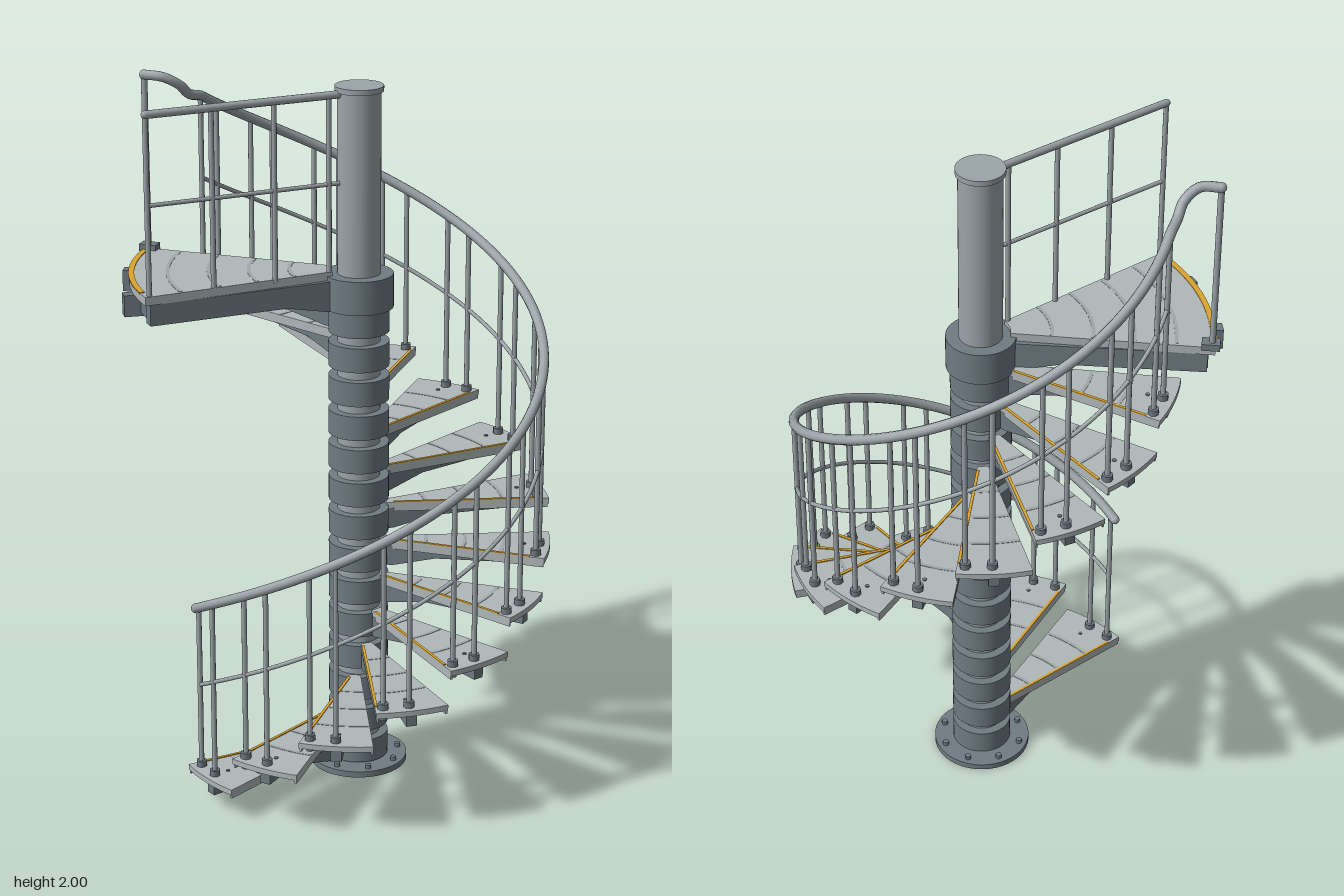
import * as THREE from 'three';

const D = Math.PI / 180;
const STEPS = 14, RISE = 0.0992, TURN = 22.4, START = -98.6; // degrees, counter-clockwise from +x
const RAIL_R = 0.513, POST_ANGLES = [2.5, 10.5];

const paint = (color) => new THREE.MeshStandardMaterial({ color });
const steel = paint(0x9ba4a8), dark = paint(0x6f7c83), plate = paint(0xb0b8ba);
const groove = paint(0x9fa8ac), gold = paint(0xdba52e);

function add(parent, name, geo, mat, x = 0, y = 0, z = 0) {
  const m = new THREE.Mesh(geo, mat);
  m.name = name;
  m.position.set(x, y, z);
  parent.add(m);
  return m;
}

// upright cylinder between two heights
function rod(parent, name, r, y0, y1, mat, x = 0, z = 0, sides = 10) {
  return add(parent, name, new THREE.CylinderGeometry(r, r, y1 - y0, sides), mat, x, (y0 + y1) / 2, z);
}

// flat ring sector, angles in degrees, standing on y = 0
function sector(r0, r1, a0, a1, h) {
  const s = new THREE.Shape();
  s.absarc(0, 0, r1, a0 * D, a1 * D, false);
  s.absarc(0, 0, r0, a1 * D, a0 * D, true);
  return new THREE.ExtrudeGeometry(s, { depth: h, bevelEnabled: false, curveSegments: 10 }).rotateX(-Math.PI / 2);
}

function tube(parent, name, pts, r, mat, segments) {
  const curve = new THREE.CatmullRomCurve3(pts);
  add(parent, name, new THREE.TubeGeometry(curve, segments, r, 10), mat);
  for (const p of [pts[0], pts[pts.length - 1]])
    add(parent, name + 'End', new THREE.SphereGeometry(r, 10, 8), mat, p.x, p.y, p.z);
}

// group turned about the column so that its local +x points outwards
function spoke(parent, name, angle, y) {
  const g = new THREE.Group();
  g.name = name;
  g.rotation.y = angle * D;
  g.position.y = y;
  parent.add(g);
  return g;
}

const polar = (r, a, y) => new THREE.Vector3(r * Math.cos(a * D), y, -r * Math.sin(a * D));
const railY = (a) => 0.585 + RISE * (a - START - 2.5) / TURN;

// radial beam that deepens towards the column
function beam(length, depth, rootDepth, width) {
  const s = new THREE.Shape([[0.06, 0], [length, 0], [length, -depth], [0.22, -depth], [0.1, -rootDepth], [0.06, -rootDepth]]
    .map(([x, y]) => new THREE.Vector2(x, y)));
  return new THREE.ExtrudeGeometry(s, { depth: width, bevelEnabled: false }).translate(0, 0, -width / 2);
}

// post with foot and nut, given in spoke coordinates
function post(parent, r, angle, y0, y1) {
  const p = polar(r, angle, 0);
  rod(parent, 'baluster', 0.0075, y0, y1, steel, p.x, p.z);
  rod(parent, 'balusterFoot', 0.015, y0, y0 + 0.017, dark, p.x, p.z, 8);
  rod(parent, 'balusterNut', 0.012, y0 - 0.032, y0 - 0.015, dark, p.x, p.z, 6);
}

function addTread(parent, i) {
  const a = START + TURN * i, span = TURN - 0.7;
  const g = spoke(parent, 'tread', a, RISE * (i + 1));
  add(g, 'treadPlate', sector(0.08, 0.543, 0, span, 0.016), plate, 0, -0.016, 0);
  for (const r of [0.187, 0.298, 0.408])
    add(g, 'gripStrip', sector(r, r + 0.01, 0.8, span - 0.5, 0.001), groove);
  add(g, 'nosing', new THREE.BoxGeometry(0.4, 0.003, 0.008), gold, 0.3, 0.0012, -0.004);
  const bolt = polar(0.47, span / 2, 0);
  rod(g, 'treadBolt', 0.006, 0, 0.003, dark, bolt.x, bolt.z, 8);
  const b = add(g, 'treadBeam', beam(0.53, 0.036, 0.062, 0.03), dark, 0, -0.016, 0);
  b.rotation.y = span / 2 * D;
  // folded lips under both long edges
  for (const [edge, side] of [[0, -1], [span, 1]]) {
    const lip = spoke(g, 'treadLip', edge, 0);
    add(lip, 'treadLipBar', new THREE.BoxGeometry(0.44, 0.012, 0.006), plate, 0.32, -0.021, side * 0.004);
  }
  for (const o of POST_ANGLES) post(g, RAIL_R, o, 0, railY(a + o) - g.position.y);
  // hub collar on the column
  rod(g, 'hubCollar', 0.085, -0.078, -0.008, dark, 0, 0, 40);
}

function addPlatform(parent) {
  const y = RISE * (STEPS + 1), a0 = -144.7, a1 = -100.5;
  const g = spoke(parent, 'platform', a0, y);
  const span = a1 - a0;
  add(g, 'platformPlate', sector(0.08, 0.63, 0, span, 0.024), plate, 0, -0.024, 0);
  for (const r of [0.187, 0.298, 0.408, 0.52])
    add(g, 'platformGrip', sector(r, r + 0.01, 1, span - 1, 0.001), groove);
  add(g, 'platformNosing', sector(0.616, 0.632, 0.5, span - 4, 0.004), gold, 0, -0.002, 0);
  add(g, 'platformSkirt', sector(0.6, 0.612, 1, span - 1, 0.05), dark, 0, -0.074, 0);
  // side beams and the two joists that project past the edge
  for (const [a, len] of [[2, 0.61], [span - 2, 0.615], [12, 0.657], [33, 0.657]]) {
    const b = add(g, 'platformBeam', beam(len, 0.06, 0.085, 0.034), dark, 0, -0.024, 0);
    b.rotation.y = a * D;
  }
  rod(g, 'topCollar', 0.096, -0.108, -0.012, dark, 0, 0, 40);

  // straight guard from the column to the outer corner
  const guard = spoke(parent, 'platformGuard', a1 - 1, y);
  const out = 0.615, top = 1.98 - y;
  for (const r of [out, 0.43, 0.25]) rod(guard, 'guardPost', 0.0075, -0.01, top, steel, r, 0);
  rod(guard, 'guardPostWall', 0.0075, 0, top, steel, 0.09, 0);
  tube(guard, 'guardRail', [new THREE.Vector3(0.05, top, 0), new THREE.Vector3(out, top, 0)], 0.011, steel, 1);
  tube(guard, 'guardMidRail', [new THREE.Vector3(0.05, top - 0.245, 0), new THREE.Vector3(out, top - 0.245, 0)], 0.006, steel, 1);
}

export function createModel() {
  const root = new THREE.Group();
  root.name = 'spiralStaircase';
  const stair = new THREE.Group();
  stair.name = 'stair';
  stair.position.z = -0.044;
  root.add(stair);

  // column and base
  rod(stair, 'column', 0.06, 0, 1.99, steel, 0, 0, 40);
  rod(stair, 'columnCap', 0.067, 1.985, 2, steel, 0, 0, 40);
  rod(stair, 'basePlate', 0.14, 0, 0.018, dark, 0, 0, 48);
  for (let i = 0; i < 8; i++) {
    const p = polar(0.118, i * 45 + 22.5, 0);
    rod(stair, 'baseBolt', 0.009, 0.018, 0.03, dark, p.x, p.z, 6);
  }

  for (let i = 0; i < STEPS; i++) addTread(stair, i);
  addPlatform(stair);

  // spiral handrail ending in a swan neck on the platform post
  const first = START + 0.5, last = START + TURN * (STEPS - 1) + POST_ANGLES[1];
  const helix = (drop, from) => {
    const pts = [];
    for (let k = 0; k <= 60; k++) {
      const a = from + (last - from) * k / 60;
      pts.push(polar(RAIL_R, a, railY(a) - drop));
    }
    return pts;
  };
  const neck = [[-0.453, 1.925, 0.252], [-0.444, 1.955, 0.285], [-0.458, 1.982, 0.332], [-0.503, 1.985, 0.364]]
    .map((p) => new THREE.Vector3(...p));
  tube(stair, 'handrail', [...helix(0, first), ...neck], 0.014, steel, 220);
  tube(stair, 'midRail', helix(0.235, START + POST_ANGLES[0]), 0.006, steel, 180);

  // platform end post
  rod(stair, 'endPost', 0.009, RISE * 15, 1.985, steel, -0.503, 0.364);
  const foot = add(stair, 'endPostFoot', new THREE.BoxGeometry(0.05, 0.02, 0.035), dark, -0.5, RISE * 15 + 0.006, 0.362);
  foot.rotation.y = -144.7 * D;
  return root;
}
